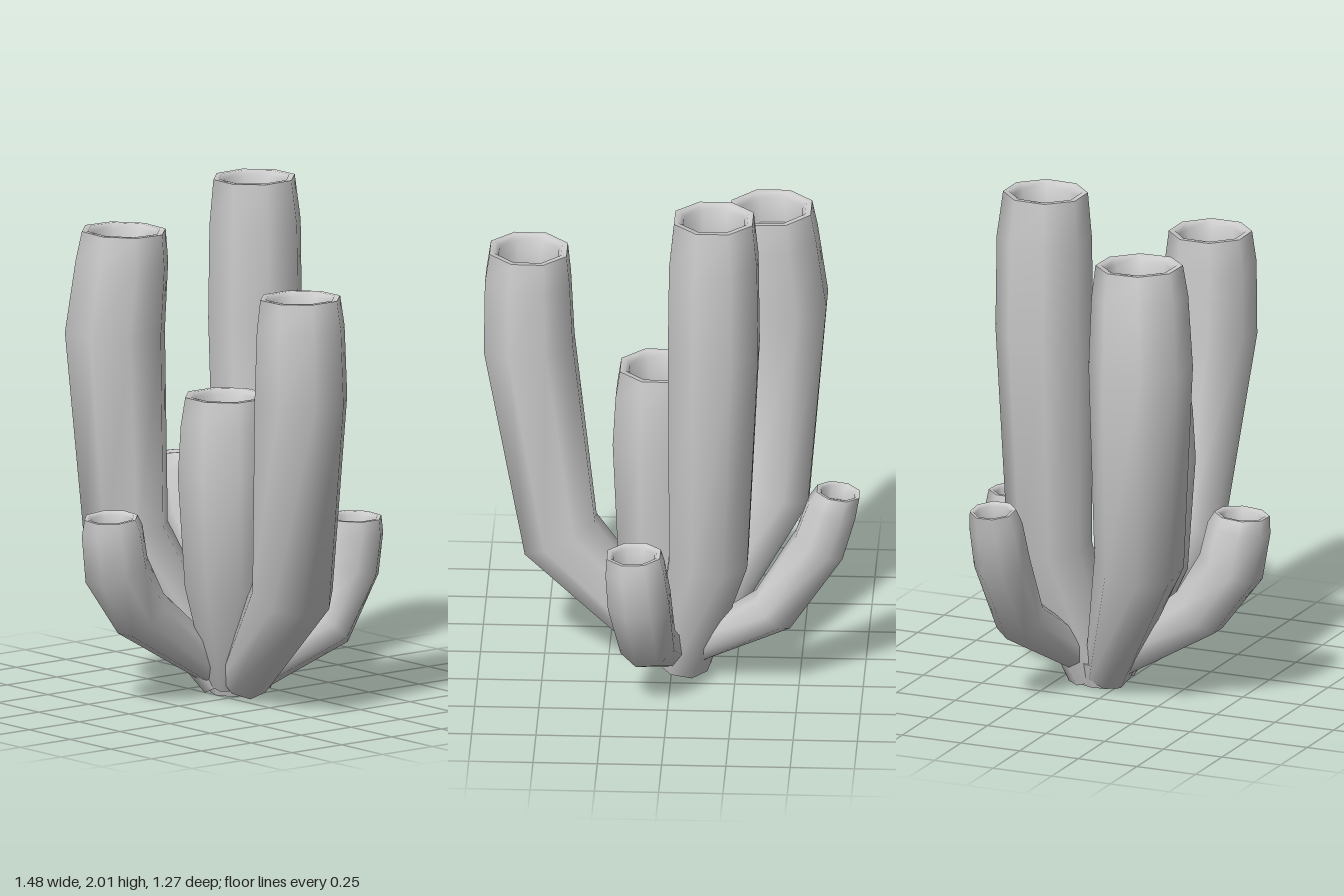
import * as THREE from 'three';
import { toCreasedNormals } from 'three/addons/utils/BufferGeometryUtils.js';

const SIDES = 8;
const V = (x, y, z) => new THREE.Vector3(x, y, z);

// Each tube: [x, y, z, radius] stations from the shared foot up to the mouth.
const TUBES = {
  tallTube: [[-0.04, 0.03, -0.11, 0.11], [-0.15, 0.55, -0.255, 0.165], [-0.17, 1.45, -0.27, 0.19],
    [-0.17, 1.82, -0.27, 0.185], [-0.17, 2.0, -0.265, 0.165]],
  rightTube: [[-0.08, 0.05, -0.04, 0.09], [-0.36, 0.61, 0.22, 0.175], [-0.4, 1.42, 0.245, 0.203],
    [-0.375, 1.7, 0.23, 0.188], [-0.37, 1.82, 0.225, 0.17]],
  centreTube: [[-0.04, 0.05, -0.04, 0.09], [0.055, 0.47, 0.05, 0.175], [0.055, 0.9, 0.06, 0.195],
    [0.055, 1.1, 0.06, 0.183], [0.055, 1.21, 0.06, 0.165]],
  leftTube: [[0.02, 0.07, -0.06, 0.1], [0.44, 0.49, 0.04, 0.165], [0.565, 1.28, 0.1, 0.188],
    [0.57, 1.56, 0.105, 0.178], [0.567, 1.68, 0.105, 0.162]],
  backTube: [[0.01, 0.08, -0.13, 0.07], [0.08, 0.25, -0.42, 0.115], [0.11, 0.47, -0.505, 0.13],
    [0.125, 0.61, -0.52, 0.123], [0.13, 0.67, -0.52, 0.112]],
  smallRightTube: [[-0.1, 0.12, -0.16, 0.07], [-0.4, 0.33, -0.27, 0.1], [-0.58, 0.61, -0.265, 0.11],
    [-0.63, 0.77, -0.268, 0.104], [-0.655, 0.84, -0.27, 0.09]],
  frontTube: [[-0.09, 0.09, -0.02, 0.07], [-0.1, 0.36, 0.36, 0.118], [-0.09, 0.55, 0.49, 0.132],
    [-0.08, 0.71, 0.52, 0.124], [-0.075, 0.765, 0.53, 0.108]],
};

// Sweeps a ring along the stations, then rolls over the lip into a shallow cup.
function tubeGeometry(stations) {
  const pts = stations.map(([x, y, z]) => V(x, y, z));
  const last = pts.length - 1;
  const dirs = pts.slice(1).map((p, i) => p.clone().sub(pts[i]).normalize());
  const rings = pts.map((p, i) => ({
    centre: p,
    radius: stations[i][3],
    dir: (dirs[i - 1] ?? dirs[0]).clone().add(dirs[i] ?? dirs[last - 1]).normalize(),
  }));

  // Mouths face mostly upward
  const top = rings[last];
  top.dir.lerp(V(0, 1, 0), 0.6).normalize();
  const R = top.radius;
  const inside = (scale, depth) => rings.push({
    centre: top.centre.clone().addScaledVector(top.dir, -depth * R), radius: scale * R, dir: top.dir,
  });
  inside(0.86, 0);
  inside(0.77, 0.12);
  inside(0.72, 0.7);

  const pos = [], index = [];
  for (const { centre, radius, dir } of rings) {
    const u = V(1, 0, 0).addScaledVector(dir, -dir.x).normalize();
    const w = u.clone().cross(dir);
    for (let k = 0; k < SIDES; k++) {
      const a = ((k + 0.5) / SIDES) * Math.PI * 2;
      const p = centre.clone()
        .addScaledVector(u, Math.cos(a) * radius)
        .addScaledVector(w, Math.sin(a) * radius);
      pos.push(p.x, p.y, p.z);
    }
  }
  for (let i = 0; i < rings.length - 1; i++) {
    for (let k = 0; k < SIDES; k++) {
      const a = i * SIDES + k, b = i * SIDES + (k + 1) % SIDES;
      index.push(a, a + SIDES, b, b, a + SIDES, b + SIDES);
    }
  }

  // Closed foot and cup floor
  const foot = pos.length / 3, floor = foot + 1;
  pos.push(...rings[0].centre.toArray(), ...rings.at(-1).centre.toArray());
  const f0 = (rings.length - 1) * SIDES;
  for (let k = 0; k < SIDES; k++) {
    const n = (k + 1) % SIDES;
    index.push(foot, k, n, floor, f0 + n, f0 + k);
  }

  const geo = new THREE.BufferGeometry();
  geo.setAttribute('position', new THREE.Float32BufferAttribute(pos, 3));
  geo.setIndex(index);
  return toCreasedNormals(geo, 1.1);
}

export function createModel() {
  const group = new THREE.Group();
  group.name = 'tubeCluster';
  const material = new THREE.MeshStandardMaterial({ color: 0xcccccc });

  for (const [name, stations] of Object.entries(TUBES)) {
    const mesh = new THREE.Mesh(tubeGeometry(stations), material);
    mesh.name = name;
    group.add(mesh);
  }

  // Small foot where all tubes meet
  const foot = new THREE.Mesh(
    toCreasedNormals(new THREE.CylinderGeometry(0.12, 0.09, 0.1, SIDES), 0.8), material);
  foot.name = 'foot';
  foot.position.set(-0.06, 0.05, -0.07);
  group.add(foot);
  return group;
}
